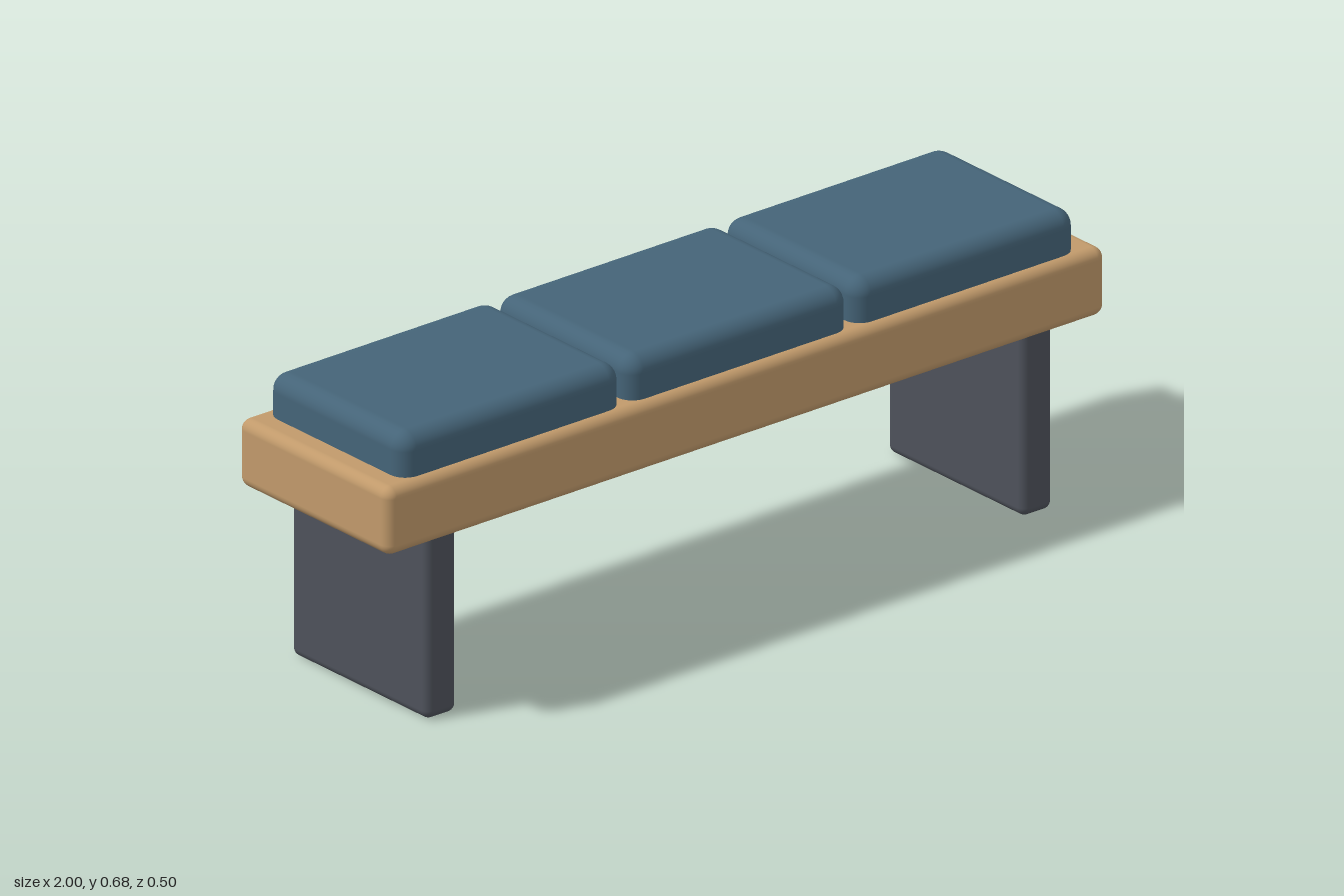
import * as THREE from 'three';
import { RoundedBoxGeometry } from 'three/addons/geometries/RoundedBoxGeometry.js';

const material = (name, color) => {
  const m = new THREE.MeshStandardMaterial({ color });
  m.name = name;
  return m;
};

export function createModel() {
  const group = new THREE.Group();
  group.name = 'bench';
  const wood = material('wood', 0xc19a6b);
  const fabric = material('blue fabric', 0x456478);
  const metal = material('dark metal', 0x4e525b);

  // Rounded block centred on x and z = 0, spanning bottom to top
  const block = (name, mat, x, width, bottom, top, depth, radius) => {
    const geometry = new RoundedBoxGeometry(width, top - bottom, depth, 4, radius);
    const mesh = new THREE.Mesh(geometry, mat);
    mesh.name = name;
    mesh.position.set(x, (bottom + top) / 2, 0);
    group.add(mesh);
  };

  // Seat slab
  block('seatSlab', wood, 0, 2, 0.425, 0.584, 0.504, 0.025);

  // Three cushions, sunk slightly into the slab
  ['rightCushion', 'middleCushion', 'leftCushion'].forEach((name, i) =>
    block(name, fabric, (i - 1) * 0.632, 0.616, 0.53, 0.683, 0.458, 0.04));

  // Panel legs, running up into the slab
  for (const side of [-1, 1]) {
    block(side < 0 ? 'rightLeg' : 'leftLeg', metal, side * 0.829, 0.086, 0, 0.46, 0.458, 0.02);
  }
  return group;
}
